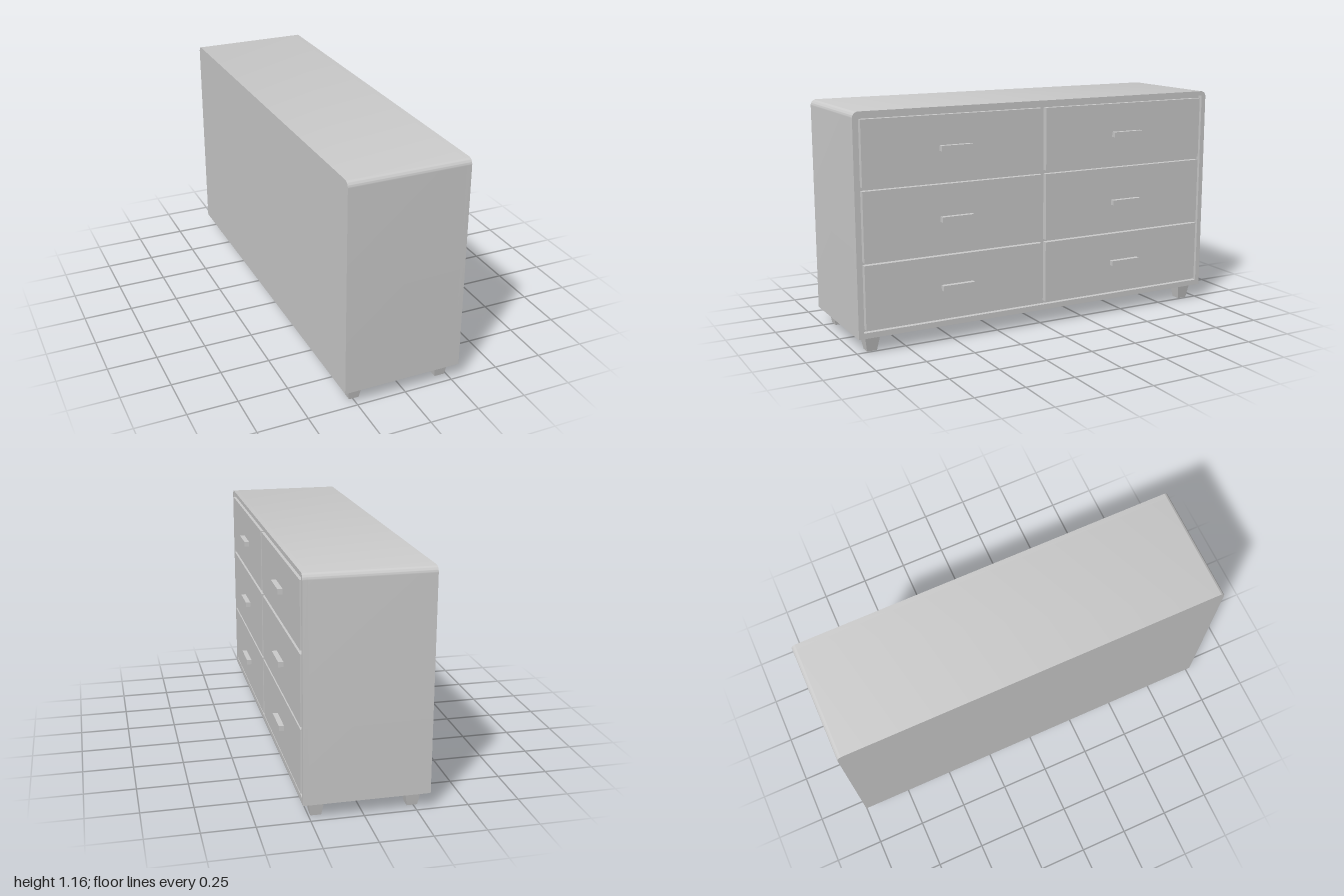
import * as THREE from 'three';
import { toCreasedNormals } from 'three/addons/utils/BufferGeometryUtils.js';

const BACK = -0.315, RECESS = 0.26, FACE = 0.285;

export function createModel() {
  const model = new THREE.Group();
  const material = new THREE.MeshStandardMaterial({ color: 0xcccccc });

  const add = (name, geometry, x = 0, y = 0, z = 0) => {
    const mesh = new THREE.Mesh(geometry, material);
    mesh.name = name;
    mesh.position.set(x, y, z);
    model.add(mesh);
    return mesh;
  };
  // Box given by its limits on each axis
  const addBox = (name, x0, x1, y0, y1, z0, z1) =>
    add(name, new THREE.BoxGeometry(x1 - x0, y1 - y0, z1 - z0), (x0 + x1) / 2, (y0 + y1) / 2, (z0 + z1) / 2);

  // Case outline: square at the bottom, rounded at the two top corners
  const outline = () => {
    const s = new THREE.Shape(), r = 0.03, top = 1.157;
    s.moveTo(-1, 0.08);
    s.lineTo(1, 0.08);
    s.lineTo(1, top - r);
    s.absarc(1 - r, top - r, r, 0, Math.PI / 2, false);
    s.lineTo(-1 + r, top);
    s.absarc(-1 + r, top - r, r, Math.PI / 2, Math.PI, false);
    s.closePath();
    return s;
  };
  const extrudeAlongX = (shape, x0, x1) => {
    const g = new THREE.ExtrudeGeometry(shape, { depth: x1 - x0, bevelEnabled: false, curveSegments: 8 });
    g.rotateY(Math.PI / 2).translate(x0, 0, 0);
    return toCreasedNormals(g, 0.6);
  };

  // Solid case, with a raised frame around the drawers
  add('case', extrudeAlongX(outline(), BACK, RECESS));
  const rim = outline();
  const opening = new THREE.Path();
  opening.moveTo(-0.975, 0.108);
  opening.lineTo(-0.975, 1.135);
  opening.lineTo(0.975, 1.135);
  opening.lineTo(0.975, 0.108);
  opening.closePath();
  rim.holes.push(opening);
  add('frontFrame', extrudeAlongX(rim, RECESS, FACE));

  // Drawers and bar handles: three rows, two columns
  const rows = [
    { y0: 0.122, y1: 0.435, handles: [0.278, 0.279] },
    { y0: 0.448, y1: 0.787, handles: [0.618, 0.605] },
    { y0: 0.805, y1: 1.12, handles: [0.962, 0.962] },
  ];
  const columns = [
    { z0: 0.014, z1: 0.963, handle: 0.488 },
    { z0: -0.96, z1: -0.01, handle: -0.486 },
  ];
  for (const row of rows) {
    columns.forEach((col, i) => {
      addBox('drawerFront', RECESS, 0.288, row.y0, row.y1, col.z0, col.z1);
      const y = row.handles[i];
      addBox('drawerHandle', 0.286, 0.313, y - 0.013, y + 0.013, col.handle - 0.084, col.handle + 0.084);
    });
  }

  // Square feet tapering downwards
  for (const x of [-0.244, 0.215]) {
    for (const z of [-0.92, 0.92]) {
      const foot = new THREE.CylinderGeometry(0.039 * Math.SQRT2, 0.025 * Math.SQRT2, 0.08, 4).toNonIndexed();
      foot.rotateY(Math.PI / 4).computeVertexNormals();
      add('foot', foot, x, 0.04, z);
    }
  }
  return model;
}
